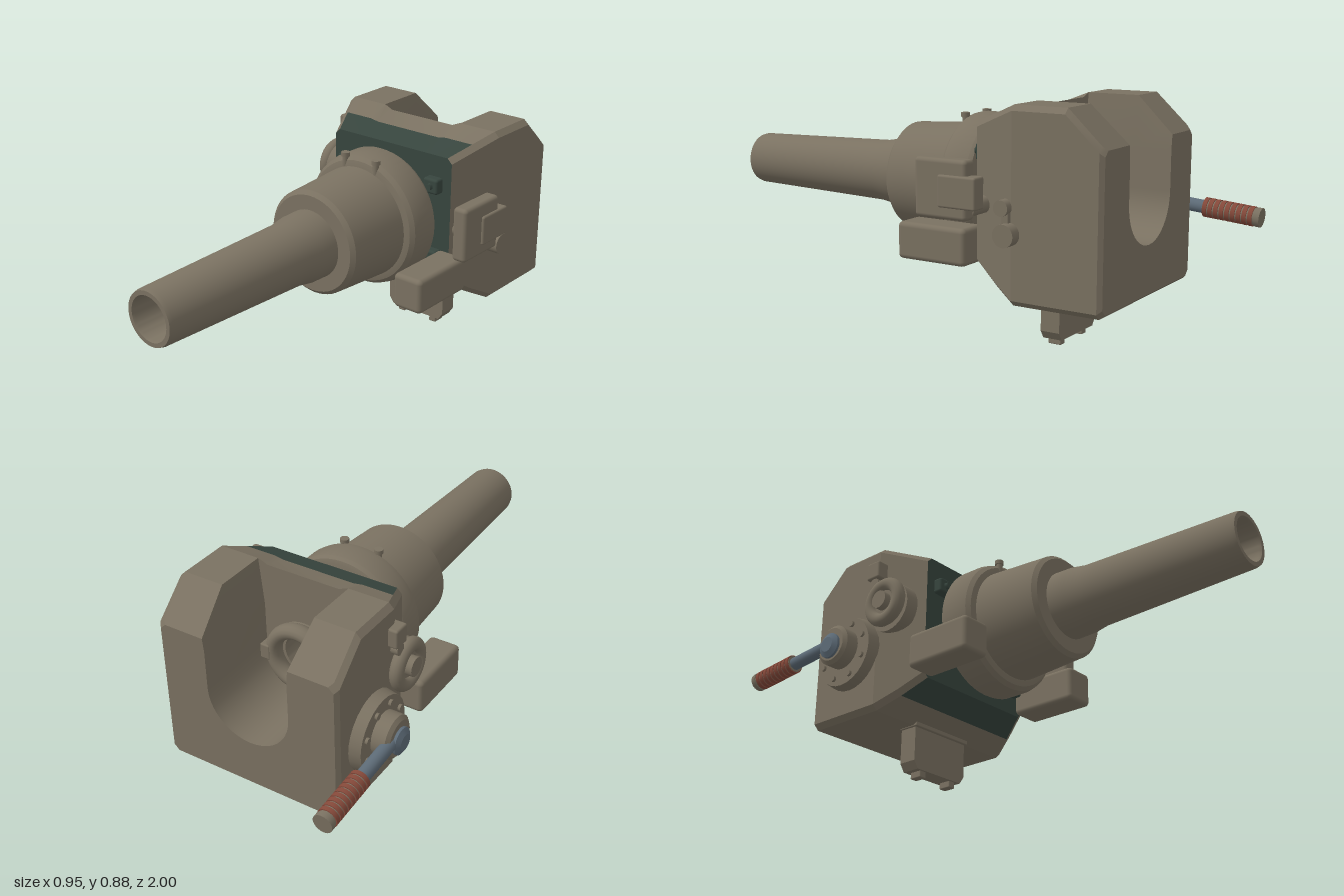
import * as THREE from 'three';
import { toCreasedNormals } from 'three/addons/utils/BufferGeometryUtils.js';
import { RoundedBoxGeometry } from 'three/addons/geometries/RoundedBoxGeometry.js';

const CX = 0.013, CY = 0.55; // bore axis

const mat = (name, color) => Object.assign(new THREE.MeshStandardMaterial({ color }), { name });

// Skins counter-clockwise cross-sections {z, pts} from back to front.
// Edges listed in greenEdges and, if asked, the front cap take the second material.
function loft(sections, { hole = 0, greenEdges = [], greenFront = false, caps = [true, true] } = {}) {
  const lists = [[], []];
  const n = sections[0].pts.length;
  for (let s = 0; s < sections.length - 1; s++) {
    const A = sections[s], B = sections[s + 1];
    for (let i = 0; i < n; i++) {
      const j = (i + 1) % n, out = lists[greenEdges.includes(i) ? 1 : 0];
      const a = [A.pts[i].x, A.pts[i].y, A.z], b = [A.pts[j].x, A.pts[j].y, A.z];
      const c = [B.pts[j].x, B.pts[j].y, B.z], d = [B.pts[i].x, B.pts[i].y, B.z];
      out.push(...a, ...b, ...d, ...b, ...c, ...d);
    }
  }
  const cap = (sec, front, out) => {
    const ring = [];
    for (let i = 0; hole && i < 32; i++) {
      const t = -i / 32 * Math.PI * 2;
      ring.push(new THREE.Vector2(CX + hole * Math.cos(t), CY + hole * Math.sin(t)));
    }
    const all = [...sec.pts, ...ring];
    for (const f of THREE.ShapeUtils.triangulateShape(sec.pts, hole ? [ring] : []))
      for (const k of front ? f : [f[2], f[1], f[0]]) out.push(all[k].x, all[k].y, sec.z);
  };
  if (caps[0]) cap(sections[0], false, lists[0]);
  if (caps[1]) cap(sections.at(-1), true, lists[greenFront ? 1 : 0]);
  let g = new THREE.BufferGeometry();
  g.setAttribute('position', new THREE.Float32BufferAttribute([...lists[0], ...lists[1]], 3));
  g = toCreasedNormals(g, 0.4);
  g.addGroup(0, lists[0].length / 3, 0);
  g.addGroup(lists[0].length / 3, lists[1].length / 3, 1);
  return g;
}

const V = (x, y) => new THREE.Vector2(CX + x, y);

// Chamfered rectangle with a U-shaped channel cut from the top
function channelSection(z, hw, y0, y1, c = 0.02, r = 0.165) {
  const flare = r + 0.1 * (y1 - 0.7);
  const pts = [V(-hw + c, y0), V(hw - c, y0), V(hw, y0 + c), V(hw, y1 - c), V(hw - c, y1), V(flare, y1), V(r, 0.7)];
  for (let i = 0; i <= 20; i++) {
    const t = -Math.PI * i / 20;
    pts.push(V(r * Math.cos(t), CY + r * Math.sin(t)));
  }
  pts.push(V(-r, 0.7), V(-flare, y1), V(-hw + c, y1), V(-hw, y1 - c), V(-hw, y0 + c));
  return { z, pts };
}

// Chamfered rectangle with a shallow dip along its top edge
function frontSection(z, hw, y0, y1, dip, c = 0.02) {
  return { z, pts: [V(-hw + c, y0), V(hw - c, y0), V(hw, y0 + c), V(hw, y1 - c), V(hw - c, y1), V(0.18, y1),
    V(0.145, y1 - dip), V(-0.145, y1 - dip), V(-0.18, y1), V(-hw + c, y1), V(-hw, y1 - c), V(-hw, y0 + c)] };
}

export function createModel() {
  const root = new THREE.Group();
  root.name = 'gunAssembly';
  const steel = mat('taupePaint', 0x7a7161);
  const green = mat('darkGreenPaint', 0x37453e);
  const blue = mat('blueGreyMetal', 0x5d6b77);
  const red = mat('redBrownGrip', 0x85493a);

  const add = (name, geo, m, pos = [0, 0, 0], parent = root) => {
    const mesh = new THREE.Mesh(geo, m);
    mesh.name = name;
    mesh.position.set(...pos);
    parent.add(mesh);
    return mesh;
  };
  // Rounded box given by its limits on each axis
  const block = (name, [x0, x1], [y0, y1], [z0, z1], r = 0.01, m = steel) =>
    add(name, new RoundedBoxGeometry(x1 - x0, y1 - y0, z1 - z0, 3, r), m,
      [(x0 + x1) / 2, (y0 + y1) / 2, (z0 + z1) / 2]);
  // Cylinder along x between x0 and x1
  const rod = (name, x0, x1, y, z, r, m = steel, r2 = r) => {
    const mesh = add(name, new THREE.CylinderGeometry(r2, r, Math.abs(x1 - x0), 28), m, [(x0 + x1) / 2, y, z]);
    mesh.rotation.z = x1 > x0 ? -Math.PI / 2 : Math.PI / 2;
    return mesh;
  };
  // Closed profile of [radius, z] turned around the bore axis
  const turned = (name, profile, m = steel) => {
    const g = new THREE.LatheGeometry(profile.map(p => new THREE.Vector2(...p)), 56);
    const mesh = add(name, toCreasedNormals(g, 0.5), m, [CX, CY, 0]);
    mesh.rotation.x = Math.PI / 2;
    return mesh;
  };

  // Breech housing: channelled rear and tapered front
  add('breechHousing', loft([
    channelSection(-0.76, 0.345, 0.208, 0.75),
    channelSection(-0.745, 0.358, 0.195, 0.764),
    channelSection(-0.62, 0.358, 0.195, 0.88),
    channelSection(-0.42, 0.358, 0.195, 0.88),
  ]), [steel, green]);
  add('housingShoulder', loft([
    frontSection(-0.42, 0.358, 0.195, 0.88, 0.015),
    frontSection(-0.33, 0.32, 0.243, 0.845, 0.006),
  ], { hole: 0.12, caps: [true, false] }), [steel, green]);
  add('housingFront', loft([
    frontSection(-0.33, 0.32, 0.243, 0.845, 0.006),
    frontSection(-0.235, 0.28, 0.303, 0.808, 0),
  ], { hole: 0.12, caps: [false, true], greenEdges: [0, 4, 5, 6, 7, 8], greenFront: true }), [steel, green]);

  // Corner lugs around the barrel mount
  for (const sx of [-1, 1]) for (const sy of [-1, 1]) {
    const x = CX + sx * 0.208, y = CY + sy * 0.145;
    block('cornerLug', [x - 0.033, x + 0.033], [y - 0.03, y + 0.03], [-0.245, -0.2], 0.01, green);
    const bolt = add('lugBolt', new THREE.CylinderGeometry(0.014, 0.014, 0.02, 6), green, [x, y, -0.195]);
    bolt.rotation.x = Math.PI / 2;
  }

  // Barrel, mount collar and breech ring
  turned('mountNeck', [[0.1, -0.24], [0.148, -0.24], [0.148, -0.17], [0.1, -0.17], [0.1, -0.24]], green);
  turned('collar', [[0.1, -0.185], [0.235, -0.185], [0.25, -0.18], [0.258, -0.165], [0.258, -0.085],
    [0.252, -0.06], [0.238, -0.045], [0.212, -0.038], [0.1, -0.038], [0.1, -0.185]]);
  turned('sleeve', [[0.1, -0.05], [0.216, -0.05], [0.204, 0.15], [0.2, 0.215], [0.185, 0.23], [0.1, 0.23], [0.1, -0.05]]);
  turned('barrel', [[0.078, -0.43], [0.125, -0.43], [0.13, 0.22], [0.128, 0.3], [0.118, 0.36], [0.102, 0.985],
    [0.098, 1], [0.082, 1], [0.078, 0.99], [0.078, -0.43]]);
  const ring = add('breechRing', new THREE.TorusGeometry(0.108, 0.028, 14, 40), steel, [CX, CY, -0.455]);
  ring.scale.z = 1.2;
  for (const s of [-1, 1])
    block('breechLug', [CX + s * 0.125 - 0.02, CX + s * 0.125 + 0.02], [0.52, 0.58], [-0.49, -0.41], 0.006);

  // Bolts on the collar top
  for (const x of [-0.06, 0.085]) {
    add('collarBolt', new THREE.CylinderGeometry(0.012, 0.012, 0.06, 12), steel, [x, 0.77, -0.05]);
    add('collarBoltHead', new THREE.CylinderGeometry(0.017, 0.017, 0.016, 12), steel, [x, 0.8, -0.05]);
  }

  // Lower recoil blocks
  block('rightRecoilBlock', [-0.355, -0.23], [0.305, 0.44], [-0.235, 0.05], 0.018);
  block('leftRecoilBlock', [0.25, 0.376], [0.305, 0.44], [-0.235, 0.05], 0.018);

  // Bottom bracket with two feet
  const sh = new THREE.Shape([[-0.125, 0.21], [-0.125, 0.055], [-0.105, 0.025], [0.128, 0.025], [0.148, 0.055], [0.148, 0.21]]
    .map(p => new THREE.Vector2(...p)));
  add('bottomBracket', new THREE.ExtrudeGeometry(sh, { depth: 0.075, bevelEnabled: false }), steel, [0, 0, -0.487]);
  block('bracketFlange', [-0.132, 0.155], [0.19, 0.212], [-0.49, -0.4], 0.004);
  for (const x of [-0.068, 0.092]) {
    block('bracketFoot', [x - 0.016, x + 0.016], [0, 0.04], [-0.472, -0.42], 0.004);
    const bolt = add('bracketBolt', new THREE.CylinderGeometry(0.014, 0.014, 0.016, 12), steel, [x, 0.165, -0.49]);
    bolt.rotation.x = Math.PI / 2;
  }

  // Sight box and knobs on the left side
  block('sightBox', [0.405, 0.465], [0.488, 0.695], [-0.3, -0.09], 0.015);
  block('sightCover', [0.415, 0.475], [0.53, 0.642], [-0.342, -0.19], 0.008);
  rod('sightStrut', 0.28, 0.42, 0.525, -0.275, 0.03);
  rod('upperKnob', 0.34, 0.4, 0.535, -0.395, 0.028);
  rod('lowerKnob', 0.34, 0.415, 0.445, -0.413, 0.04);
  block('knobLink', [0.35, 0.386], [0.45, 0.53], [-0.418, -0.388], 0.004);

  // Handwheel and small box on the right side
  const wheel = add('handwheel', new THREE.TorusGeometry(0.073, 0.026, 14, 40), steel, [-0.366, 0.612, -0.36]);
  wheel.rotation.y = Math.PI / 2;
  rod('wheelDisc', -0.3, -0.372, 0.612, -0.36, 0.075);
  rod('wheelHub', -0.36, -0.4, 0.612, -0.36, 0.036);
  rod('wheelBackPlate', -0.29, -0.345, 0.6, -0.36, 0.1);
  block('sideBox', [-0.38, -0.325], [0.73, 0.802], [-0.456, -0.39], 0.008);
  rod('sideBoxStud', -0.33, -0.372, 0.71, -0.42, 0.022);

  // Crank gear housing
  const KY = 0.455, KZ = -0.555;
  rod('crankPlate', -0.33, -0.388, KY, KZ, 0.15, steel, 0.14);
  rod('crankBoss', -0.38, -0.44, KY + 0.008, KZ, 0.08);
  rod('crankBossCap', -0.44, -0.452, KY + 0.008, KZ, 0.08, steel, 0.066);
  for (let i = 0; i < 8; i++) {
    const t = (i + 0.5) * Math.PI / 4;
    rod('crankPlateBolt', -0.38, -0.398, KY + 0.112 * Math.sin(t), KZ + 0.112 * Math.cos(t), 0.012);
  }
  rod('crankNut', -0.44, -0.462, KY, KZ, 0.05, blue);
  rod('crankNutCap', -0.462, -0.474, KY, KZ, 0.05, blue, 0.03);

  // Crank lever pointing backwards, tilted slightly down
  const lever = new THREE.Group();
  lever.name = 'crankLever';
  lever.position.set(-0.44, 0.468, KZ);
  lever.rotation.x = -Math.PI / 2 - 0.085;
  root.add(lever);
  const along = (name, r, a, b, m) => add(name, new THREE.CylinderGeometry(r, r, b - a, 24), m, [0, (a + b) / 2, 0], lever);
  along('leverShaft', 0.025, 0, 0.25, blue);
  along('gripCore', 0.033, 0.222, 0.43, steel);
  for (let i = 0; i < 9; i++) along('gripRing', 0.037, 0.224 + i * 0.022, 0.24 + i * 0.022, red);
  along('gripEndCap', 0.036, 0.424, 0.443, steel);

  return root;
}
